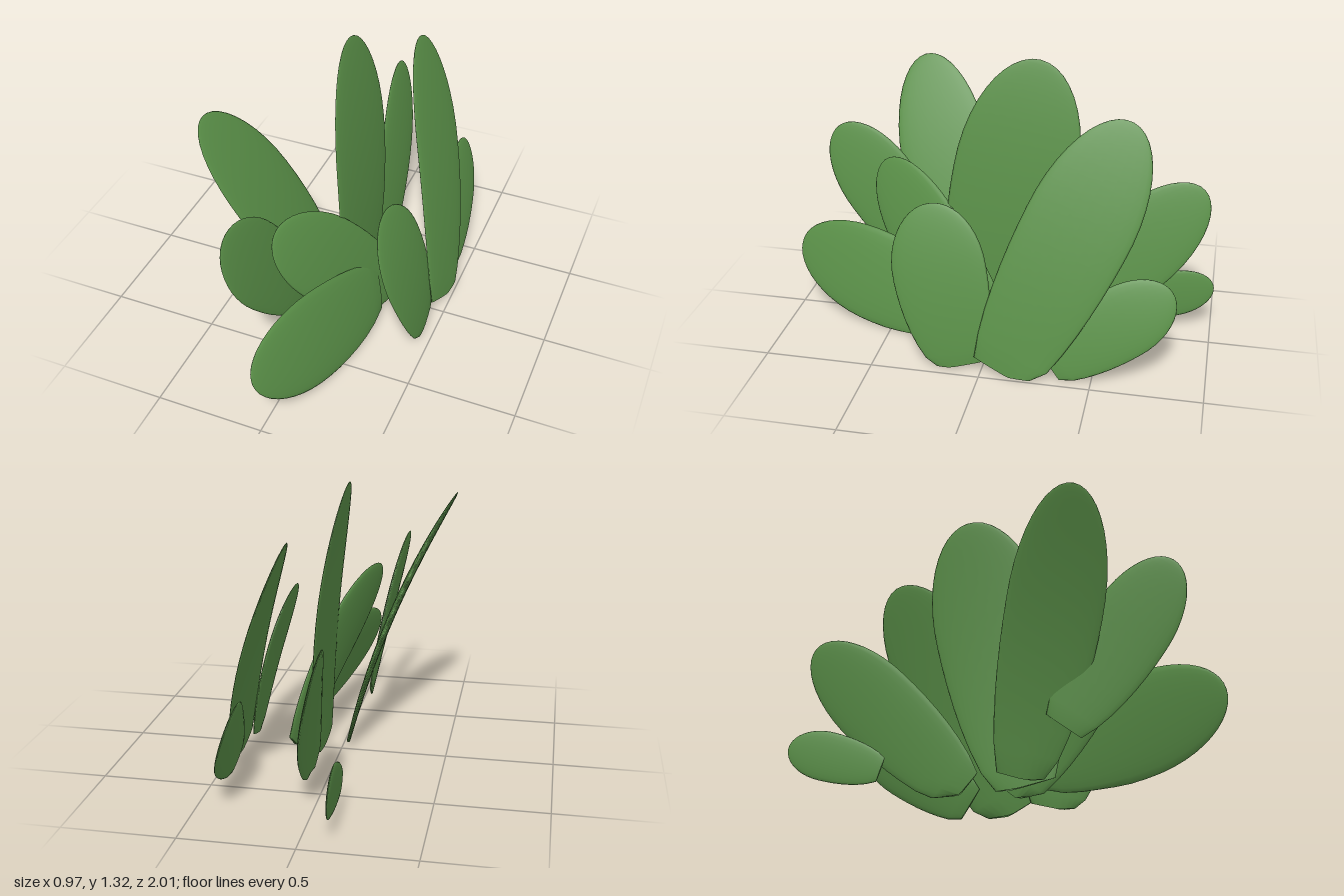
import * as THREE from 'three';

const RINGS = 18, SIDES = 24;

// One leaf: a thin bowed lens from base to tip; side is its half-width vector.
function leafGeometry({ base, tip, side, thick = 0.017, foot = 0.5, widest = 0.6, bow = 0.03 }) {
  const start = new THREE.Vector3(...base);
  const axis = new THREE.Vector3(...tip).sub(start);
  const across = new THREE.Vector3(...side);
  const normal = new THREE.Vector3().crossVectors(across, axis).normalize();
  if (normal.x < 0) {
    normal.negate();
    across.negate();
  }
  const centre = u => start.clone().addScaledVector(axis, u)
    .addScaledVector(normal, bow * axis.length() * 4 * u * (1 - u));

  // Blunt foot, widest past the middle, rounded tip
  const width = u => u > widest
    ? Math.sqrt(Math.max(0, 1 - ((u - widest) / (1 - widest)) ** 2))
    : Math.sqrt(1 - ((widest - u) / widest) ** 2 * (1 - foot * foot));

  const positions = [], index = [];
  for (let i = 0; i < RINGS; i++) {
    const u = Math.sin((i / RINGS) * Math.PI / 2);
    const c = centre(u), w = width(u);
    for (let j = 0; j < SIDES; j++) {
      const a = (j / SIDES) * Math.PI * 2;
      const p = c.clone().addScaledVector(across, w * Math.cos(a))
        .addScaledVector(normal, -w * thick * Math.sin(a));
      positions.push(p.x, Math.max(p.y, 0), p.z);
    }
  }
  const foot0 = positions.length / 3, end = foot0 + 1;
  positions.push(...centre(0).toArray(), ...centre(1).toArray());

  for (let j = 0; j < SIDES; j++) {
    const k = (j + 1) % SIDES;
    for (let i = 0; i < RINGS - 1; i++) {
      const a = i * SIDES, b = a + SIDES;
      index.push(a + j, a + k, b + j, a + k, b + k, b + j);
    }
    const last = (RINGS - 1) * SIDES;
    index.push(foot0, k, j, last + j, last + k, end);
  }
  const geometry = new THREE.BufferGeometry();
  geometry.setAttribute('position', new THREE.Float32BufferAttribute(positions, 3));
  geometry.setIndex(index);
  geometry.computeVertexNormals();
  return geometry;
}

export function createModel() {
  const green = new THREE.MeshStandardMaterial({ color: 0x5a9048 });
  green.name = 'leaf green';

  const leaves = {
    tallCentreLeaf: { base: [0.09, 0.01, 0.07], tip: [-0.06, 1.32, -0.17], side: [-0.006, 0.05, 0.28] },
    tallOuterLeaf: { base: [0.465, 0.01, -0.1], tip: [0.13, 1.13, -0.61], side: [-0.03, 0.1, 0.22], foot: 0.6 },
    tallLeaningLeaf: { base: [-0.02, 0.01, 0.08], tip: [-0.48, 1.17, 0.47], side: [0.03, -0.07, 0.21], bow: 0.04 },
    frontUpperLeaf: { base: [-0.095, 0.2, 0.3], tip: [-0.21, 0.87, 0.84], side: [0.02, -0.12, 0.15], bow: 0.015 },
    frontMiddleLeaf: { base: [0.22, 0.02, -0.03], tip: [-0.1, 0.76, 0.58], side: [-0.02, -0.13, 0.15], thick: 0.022 },
    frontLowLeaf: { base: [0.2, 0.14, 0.1], tip: [-0.03, 0.31, 1.0], side: [-0.05, 0.22, -0.045], thick: 0.022, widest: 0.55 },
    outerShortLeaf: { base: [0.44, 0.01, 0.1], tip: [0.27, 0.73, 0.28], side: [0.014, -0.06, 0.21] },
    backMiddleLeaf: { base: [0.085, 0.02, -0.22], tip: [-0.07, 0.75, -0.93], side: [-0.025, 0.14, 0.14], bow: 0.02 },
    backLowLeaf: { base: [0.43, 0.06, -0.31], tip: [0.32, 0.43, -0.83], side: [-0.035, 0.126, 0.1], foot: 0.55, bow: 0.02 },
    backSmallLeaf: { base: [-0.1, 0.09, -0.55], tip: [-0.13, 0.24, -1.0], side: [-0.005, 0.108, 0.04], thick: 0.012, bow: 0.01 },
  };

  const model = new THREE.Group();
  model.name = 'leafCluster';
  for (const [name, shape] of Object.entries(leaves)) {
    const leaf = new THREE.Mesh(leafGeometry(shape), green);
    leaf.name = name;
    model.add(leaf);
  }
  return model;
}
